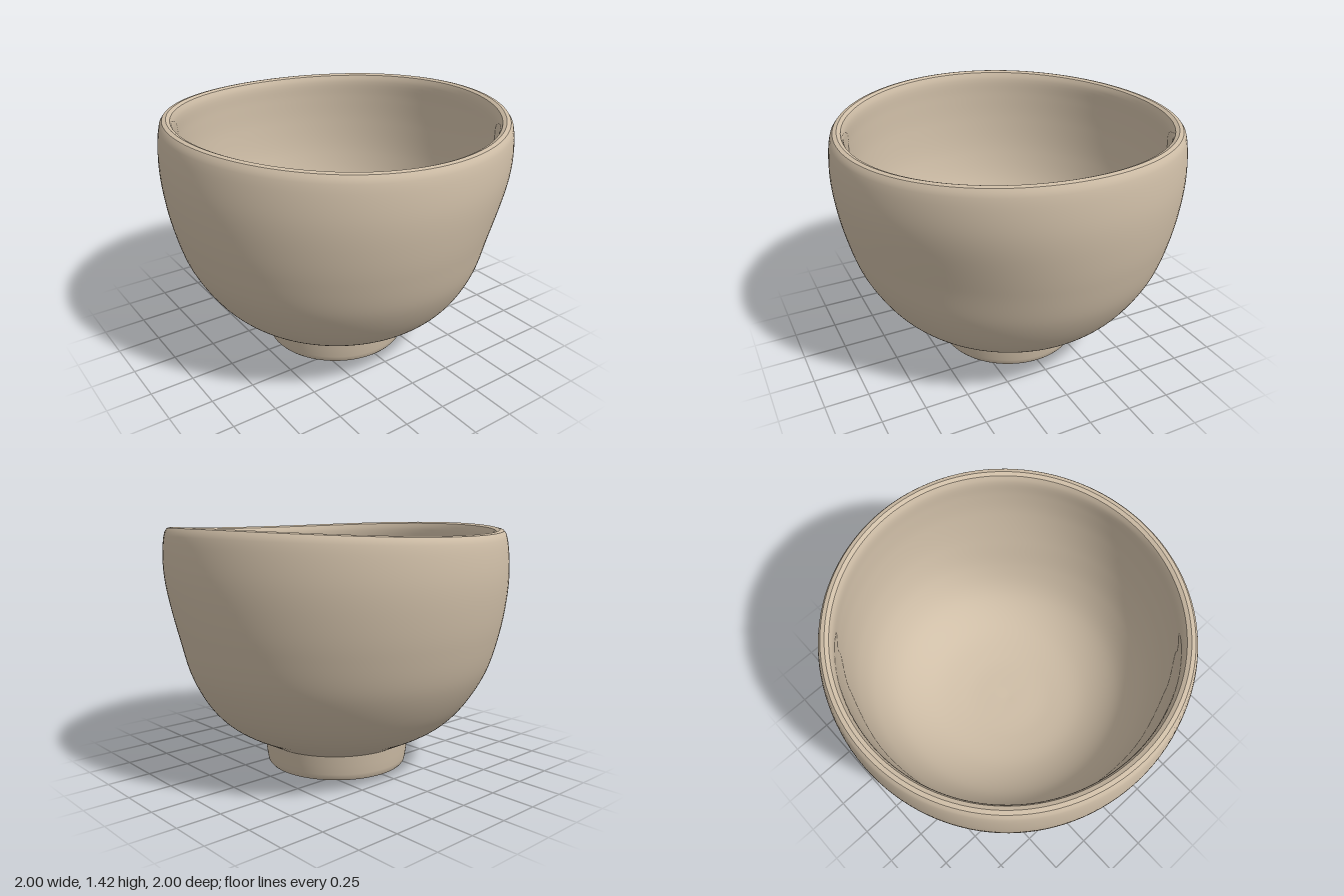
import * as THREE from 'three';
import { mergeVertices, toCreasedNormals } from 'three/addons/utils/BufferGeometryUtils.js';

const clay = new THREE.MeshStandardMaterial({ color: 0xcfbea7 });

// Smooth profile through [radius, height] points
function smoothProfile(points, count) {
  const curve = new THREE.CatmullRomCurve3(points.map(([r, y]) => new THREE.Vector3(r, y, 0)));
  return curve.getSpacedPoints(count).map((p) => new THREE.Vector2(Math.max(p.x, 0), p.y));
}

// Revolve a profile, then move its vertices by a rule
function turned(name, profile, rule) {
  let geometry = new THREE.LatheGeometry(profile, 128);
  geometry.deleteAttribute('uv');
  geometry.deleteAttribute('normal');
  geometry = mergeVertices(geometry, 1e-5);
  const pos = geometry.attributes.position;
  const v = new THREE.Vector3();
  for (let i = 0; i < pos.count; i++) {
    rule(v.fromBufferAttribute(pos, i));
    pos.setXYZ(i, v.x, v.y, v.z);
  }
  const mesh = new THREE.Mesh(toCreasedNormals(geometry, 0.6), clay);
  mesh.name = name;
  return mesh;
}

// Hand-thrown unevenness: a wavy rim and a thumb dent at the front left
function handThrown(v) {
  const angle = Math.atan2(v.z, v.x);
  const radius = Math.hypot(v.x, v.z);
  const across = (angle - Math.PI / 4) / 0.42;
  const up = (v.y - 0.77) / 0.25;
  const dent = 0.055 * Math.exp(-(across * across + up * up) / 2) * Math.min(radius / 0.7, 1);
  const scale = radius > 0 ? (radius - dent) / radius : 1;
  v.x *= scale;
  v.z *= scale;
  v.y += 0.017 * Math.cos(2 * angle) * Math.pow(v.y / 1.4, 4);
}

export function createModel() {
  const group = new THREE.Group();
  group.name = 'teaBowl';

  // Bowl: outer wall, rounded rim, inner wall down to the centre
  const bowlProfile = smoothProfile([
    [0.42, 0.145], [0.5, 0.187], [0.605, 0.243], [0.69, 0.305], [0.785, 0.41], [0.895, 0.6],
    [0.96, 0.82], [0.99, 1.0], [1.0, 1.15], [0.993, 1.28], [0.98, 1.36], [0.967, 1.392],
    [0.943, 1.402], [0.918, 1.393], [0.905, 1.36], [0.902, 1.25], [0.895, 1.08],
    [0.865, 0.85], [0.8, 0.64], [0.68, 0.45], [0.5, 0.32], [0.28, 0.26], [0, 0.245],
  ], 140);
  group.add(turned('bowl', bowlProfile, handThrown));

  // Foot ring with a shallow recess underneath
  const footProfile = [
    [0, 0.08], [0.34, 0.08], [0.342, 0.012], [0.348, 0.003], [0.36, 0], [0.395, 0],
    [0.408, 0.004], [0.416, 0.014], [0.421, 0.04], [0.428, 0.09], [0.436, 0.165],
  ].map(([r, y]) => new THREE.Vector2(r, y));
  group.add(turned('footRing', footProfile, (v) => { v.x -= 0.007; v.z -= 0.003; }));

  return group;
}
